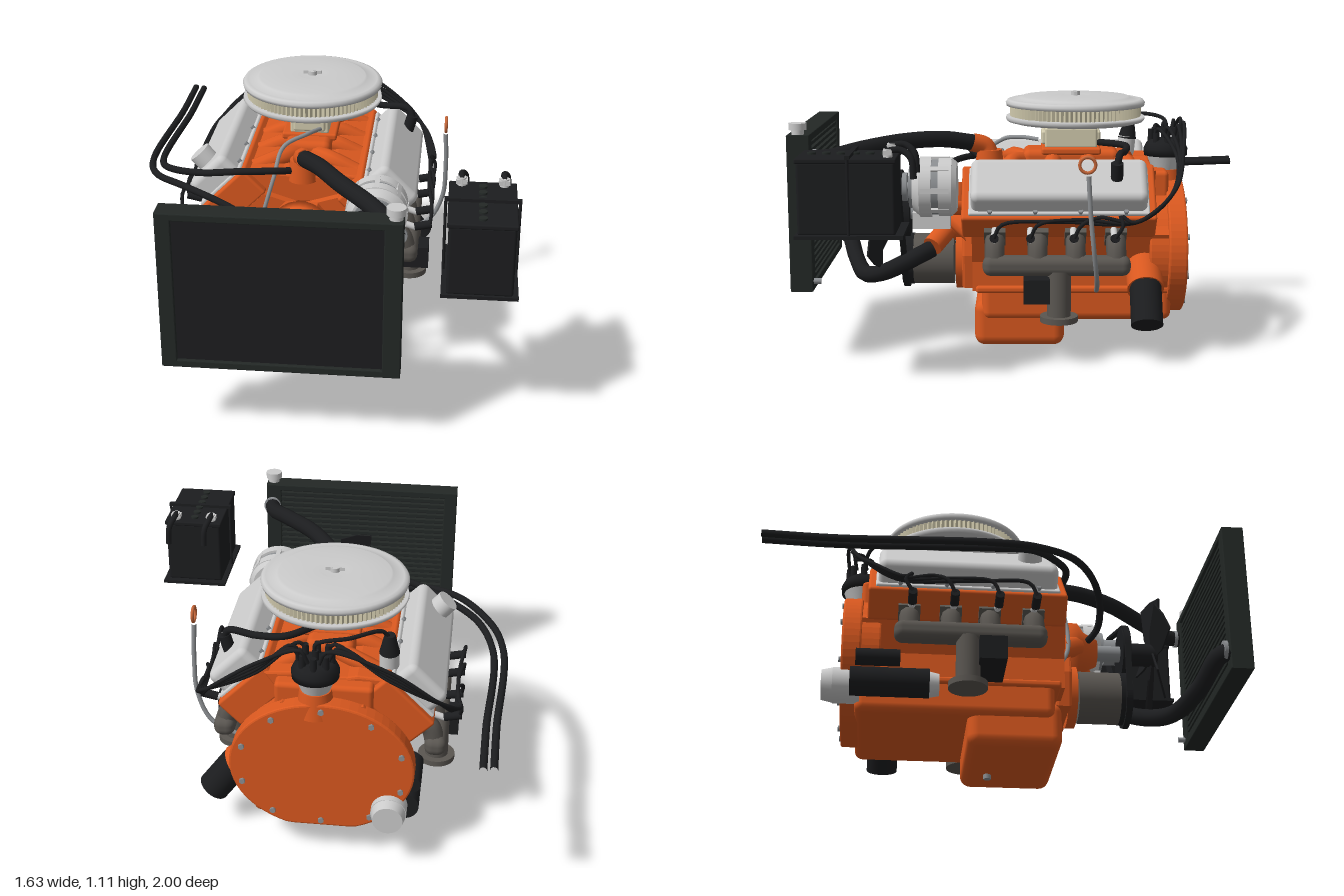
import * as THREE from 'three';
import { RoundedBoxGeometry } from 'three/addons/geometries/RoundedBoxGeometry.js';

const CX = -0.09, CRANK_Y = 0.365;
const mat = (color) => new THREE.MeshStandardMaterial({ color });
const V = (p) => new THREE.Vector3(...p);

export function createModel() {
  const root = new THREE.Group();
  const engine = new THREE.Group();
  engine.name = 'engine';
  engine.position.x = CX;
  root.add(engine);

  const orange = mat(0xd9581f), silver = mat(0xcccccc), black = mat(0x1c1d1f), core = mat(0x232826),
    iron = mat(0x5a5651), beige = mat(0xd2cbae), steel = mat(0x8c8f92), copper = mat(0xc8683a);

  // helpers
  const add = (parent, name, geo, m, x = 0, y = 0, z = 0) => {
    const mesh = new THREE.Mesh(geo, m);
    mesh.name = name;
    mesh.position.set(x, y, z);
    parent.add(mesh);
    return mesh;
  };
  const box = (p, name, m, w, h, d, x, y, z) => add(p, name, new THREE.BoxGeometry(w, h, d), m, x, y, z);
  const soft = (p, name, m, w, h, d, r, x, y, z) => add(p, name, new RoundedBoxGeometry(w, h, d, 3, r), m, x, y, z);
  const rod = (p, name, m, a, b, r, r2 = r, seg = 28) => {
    const A = V(a), B = V(b), dir = B.clone().sub(A);
    const mesh = add(p, name, new THREE.CylinderGeometry(r2, r, dir.length(), seg), m);
    mesh.position.copy(A).addScaledVector(dir, 0.5);
    mesh.quaternion.setFromUnitVectors(new THREE.Vector3(0, 1, 0), dir.normalize());
    return mesh;
  };
  const tube = (p, name, m, pts, r, seg = 48) =>
    add(p, name, new THREE.TubeGeometry(new THREE.CatmullRomCurve3(pts.map(V)), seg, r, 10), m);
  const poly = (pts) => new THREE.Shape(pts.map(([x, y]) => new THREE.Vector2(x, y)));
  const mirror = (half) => poly([...half, ...half.map(([x, y]) => [-x, y]).reverse()]);
  const slab = (p, name, m, shape, z0, z1, bevel = 0) => add(p, name, new THREE.ExtrudeGeometry(shape, {
    depth: z1 - z0 - 2 * bevel, curveSegments: 32, bevelEnabled: bevel > 0,
    bevelSize: bevel, bevelThickness: bevel, bevelSegments: 2, bevelOffset: -bevel }), m, 0, 0, z0 + bevel);
  const lathe = (p, name, m, prof, x, y, z, seg = 64) =>
    add(p, name, new THREE.LatheGeometry(prof.map(([a, b]) => new THREE.Vector2(a, b)), seg), m, x, y, z);

  // block, bell plate and front cover
  slab(engine, 'block', orange, mirror([[0.29, 0.27], [0.29, 0.4], [0.346, 0.528], [0.163, 0.711], [0.001, 0.66]]), -0.63, 0.24);
  const bellPoint = (a, k) => [0.38 * k * Math.cos(a), Math.max(0.43 + 0.305 * k * Math.sin(a), 0.435 - 0.29 * k)];
  const bellShape = (k) => poly(Array.from({ length: 64 }, (_, i) => bellPoint(i / 32 * Math.PI, k)));
  slab(engine, 'bellPlate', orange, bellShape(1), -0.68, -0.6, 0.008);
  slab(engine, 'bellNeck', orange, bellShape(0.93), -0.61, -0.52, 0.008);
  for (let i = 0; i < 10; i++) {
    const [x, y] = bellPoint((i + 0.5) / 5 * Math.PI, 0.9);
    rod(engine, 'plateBolt', steel, [x, y, -0.67], [x, y, -0.69], 0.013, 0.013, 6);
  }
  slab(engine, 'timingCover', orange, mirror([[0.15, 0.25], [0.17, 0.4], [0.12, 0.62], [0.07, 0.68]]), 0.22, 0.29, 0.012);
  rod(engine, 'timingCoverRim', orange, [0, 0.355, 0.28], [0, 0.355, 0.32], 0.135);

  // oil pan
  soft(engine, 'panRail', orange, 0.62, 0.03, 0.85, 0.012, 0, 0.28, -0.2);
  soft(engine, 'shallowPan', orange, 0.59, 0.16, 0.82, 0.035, 0, 0.22, -0.21);
  soft(engine, 'sump', orange, 0.555, 0.2, 0.39, 0.045, 0.005, 0.12, 0.037);
  rod(engine, 'drainPlug', steel, [0.09, 0, -0.05], [0.09, 0.03, -0.05], 0.017, 0.017, 6);

  // intake manifold
  slab(engine, 'intakeValley', orange, mirror([[0.16, 0.66], [0.25, 0.79], [0.13, 0.8], [0.09, 0.79]]), -0.55, 0.2, 0.01);
  soft(engine, 'plenum', orange, 0.2, 0.12, 0.42, 0.03, 0, 0.8, -0.19);
  soft(engine, 'carburettorPad', orange, 0.24, 0.03, 0.26, 0.01, 0, 0.855, -0.19);
  soft(engine, 'rearValleyWall', orange, 0.4, 0.14, 0.1, 0.02, 0, 0.71, -0.56);
  for (const s of [-1, 1]) for (const z of [0.09, -0.1, -0.27, -0.45])
    tube(engine, 'intakeRunner', orange, [[0, 0.79, -0.19 + (z + 0.19) * 0.5], [s * 0.1, 0.81, z * 0.9 - 0.02], [s * 0.22, 0.765, z]], 0.038, 14);
  rod(engine, 'thermostatBase', orange, [0, 0.76, 0.17], [0, 0.85, 0.17], 0.065, 0.055);
  tube(engine, 'thermostatNeck', orange, [[0, 0.83, 0.17], [0, 0.865, 0.19], [0.02, 0.885, 0.25]], 0.041, 14);

  // cylinder banks
  const plugZ = [0.14, -0.01, -0.19, -0.36];
  for (const s of [-1, 1]) {
    const zo = s > 0 ? 0 : -0.04;
    const bank = new THREE.Group();
    bank.name = s > 0 ? 'leftBank' : 'rightBank';
    bank.position.set(0, CRANK_Y, zo);
    bank.rotation.z = -s * Math.PI / 4;
    engine.add(bank);
    soft(bank, 'cylinderHead', orange, 0.28, 0.14, 0.82, 0.012, 0, 0.425, -0.13);
    soft(bank, 'valveCoverFlange', silver, 0.245, 0.02, 0.76, 0.008, 0, 0.497, -0.13);
    soft(bank, 'valveCover', silver, 0.215, 0.13, 0.74, 0.032, 0, 0.535, -0.13);
    for (let i = 0; i < 4; i++) for (const e of [-1, 1])
      rod(bank, 'coverBolt', steel, [e * 0.113, 0.5, 0.16 - i * 0.19], [e * 0.113, 0.518, 0.16 - i * 0.19], 0.01, 0.01, 6);
    // exhaust manifold
    soft(engine, 'exhaustLog', iron, 0.09, 0.085, 0.62, 0.035, s * 0.45, 0.42, -0.12 + zo);
    for (const z of [0.14, -0.04, -0.2, -0.37]) {
      tube(engine, 'exhaustPort', iron, [[s * 0.34, 0.53, z + zo], [s * 0.42, 0.5, z + zo], [s * 0.45, 0.41, z + zo]], 0.042, 16);
      box(engine, 'portFlange', iron, 0.03, 0.1, 0.09, s * 0.375, 0.53, z + zo).rotation.z = -s * Math.PI / 4;
    }
    rod(engine, 'exhaustOutlet', iron, [s * 0.45, 0.19, -0.13 + zo], [s * 0.45, 0.4, -0.13 + zo], 0.05);
    rod(engine, 'outletFlange', iron, [s * 0.45, 0.18, -0.13 + zo], [s * 0.45, 0.205, -0.13 + zo], 0.08);
    box(engine, 'engineMount', black, 0.26, 0.1, 0.11, s * 0.41, 0.325, -0.035 + zo);
    // spark plugs and their leads
    plugZ.forEach((z0, i) => {
      const z = z0 + zo;
      rod(engine, 'sparkPlug', silver, [s * 0.38, 0.57, z], [s * 0.49, 0.535, z], 0.014);
      rod(engine, 'plugBoot', black, [s * 0.48, 0.54, z], [s * 0.55, 0.555, z], 0.018);
      const a = s * (0.35 + i * 0.7), cx = 0.03 + 0.065 * Math.sin(a), cz = -0.61 - 0.065 * Math.cos(a), k = i * 0.009;
      tube(engine, 'plugLead', black, [[cx, 0.92, cz], [cx + s * 0.03, 0.98 - k, cz - 0.01], [s * 0.26, 0.9 - k * 2, -0.665 + k],
        [s * (0.46 + k), 0.74 - k, -0.61 + k], [s * (0.52 + k), 0.62, -0.46 + k], [s * 0.53, 0.62 + k, (z - 0.46) / 2 + 0.03],
        [s * 0.55, 0.61, z - 0.03], [s * 0.545, 0.555, z]], 0.008, 60);
    });
  }
  rod(engine, 'oilFillerCap', silver, [-0.42, 0.78, 0.085], [-0.462, 0.828, 0.085], 0.05);
  rod(engine, 'breatherValve', black, [0.42, 0.78, -0.37], [0.44, 0.85, -0.37], 0.026);
  tube(engine, 'breatherHose', black, [[0.44, 0.84, -0.37], [0.42, 0.88, -0.38], [0.3, 0.88, -0.41], [0.18, 0.89, -0.42], [0.05, 0.89, -0.3]], 0.015);

  // carburettor and air cleaner
  soft(engine, 'carburettor', beige, 0.17, 0.09, 0.23, 0.01, 0, 0.91, -0.19);
  rod(engine, 'carburettorHorn', beige, [0, 0.94, -0.2], [0, 0.985, -0.2], 0.085);
  for (const s of [-1, 1]) soft(engine, 'floatBowl', beige, 0.14, 0.06, 0.03, 0.01, 0, 0.91, -0.19 + s * 0.115);
  tube(engine, 'fuelLine', steel, [[0.05, 0.9, -0.05], [0, 0.905, 0.03], [-0.09, 0.88, 0.12], [-0.12, 0.78, 0.23], [-0.2, 0.5, 0.27], [-0.24, 0.38, 0.22]], 0.009);
  lathe(engine, 'airCleanerBase', silver, [[0.001, 0.972], [0.27, 0.972], [0.3, 0.98], [0.307, 0.99], [0.305, 1.002], [0.001, 1.002]], 0, 0, -0.21);
  const pleats = [];
  for (let i = 0; i < 180; i++) {
    const a = i / 180 * Math.PI * 2, r = i % 2 ? 0.29 : 0.281;
    pleats.push([r * Math.cos(a), r * Math.sin(a)]);
  }
  const filter = slab(engine, 'airFilter', beige, poly(pleats), 0, 0.055);
  filter.rotation.x = -Math.PI / 2;
  filter.position.set(0, 1, -0.21);
  lathe(engine, 'airCleanerLid', silver, [[0.28, 1.048], [0.304, 1.048], [0.308, 1.062], [0.3, 1.074], [0.285, 1.078],
    [0.275, 1.074], [0.24, 1.083], [0.232, 1.09], [0.15, 1.094], [0.07, 1.096], [0.06, 1.092], [0.001, 1.092]], 0, 0, -0.21);
  rod(engine, 'wingNutStud', silver, [0, 1.09, -0.21], [0, 1.11, -0.21], 0.02);
  box(engine, 'wingNut', silver, 0.08, 0.015, 0.012, 0, 1.103, -0.21);

  // distributor and ignition coil
  rod(engine, 'distributorBase', orange, [0.03, 0.66, -0.61], [0.03, 0.77, -0.61], 0.08, 0.065);
  rod(engine, 'distributorBody', silver, [0.03, 0.76, -0.61], [0.03, 0.835, -0.61], 0.055, 0.085);
  lathe(engine, 'distributorCap', black, [[0.001, 0.83], [0.095, 0.83], [0.097, 0.86], [0.085, 0.885], [0.07, 0.9], [0.001, 0.905]], 0.03, 0, -0.61, 32);
  for (let i = 0; i < 9; i++) {
    const a = i / 8 * Math.PI * 2, r = i < 8 ? 0.065 : 0;
    rod(engine, 'capTower', black, [0.03 + r * Math.cos(a), 0.88, -0.61 + r * Math.sin(a)], [0.03 + r * Math.cos(a), 0.945, -0.61 + r * Math.sin(a)], 0.015, 0.013, 12);
  }
  rod(engine, 'coilBody', silver, [-0.25, 0.78, -0.45], [-0.25, 0.88, -0.46], 0.04);
  rod(engine, 'coilTop', black, [-0.25, 0.87, -0.46], [-0.25, 0.955, -0.47], 0.042, 0.022);
  tube(engine, 'coilLead', black, [[-0.25, 0.94, -0.47], [-0.22, 0.98, -0.49], [-0.1, 0.99, -0.58], [0.03, 0.97, -0.61], [0.03, 0.92, -0.61]], 0.0085);

  // oil filter and starter
  rod(engine, 'filterBoss', orange, [0.25, 0.39, -0.5], [0.385, 0.3, -0.5], 0.078);
  rod(engine, 'oilFilter', black, [0.375, 0.32, -0.5], [0.485, 0.17, -0.5], 0.068);
  rod(engine, 'starterMotor', black, [-0.34, 0.245, -0.64], [-0.34, 0.245, -0.32], 0.06);
  rod(engine, 'starterEnd', silver, [-0.34, 0.24, -0.33], [-0.34, 0.24, -0.28], 0.055, 0.045);
  rod(engine, 'starterCollar', silver, [-0.28, 0.25, -0.6], [-0.28, 0.25, -0.71], 0.074);
  rod(engine, 'starterNose', silver, [-0.28, 0.25, -0.7], [-0.28, 0.25, -0.755], 0.074, 0.062);
  rod(engine, 'starterSolenoid', black, [-0.37, 0.34, -0.62], [-0.37, 0.34, -0.44], 0.035);

  // front drive
  rod(engine, 'crankDamper', iron, [0, 0.355, 0.33], [0, 0.355, 0.51], 0.113);
  rod(engine, 'crankPulley', black, [0, 0.355, 0.51], [0, 0.355, 0.56], 0.115);
  lathe(engine, 'waterPump', orange, [[0.001, 0], [0.13, 0], [0.13, 0.06], [0.09, 0.09], [0.06, 0.15], [0.001, 0.15]], 0, 0.57, 0.27, 32).rotation.x = Math.PI / 2;
  for (const s of [-1, 1]) tube(engine, 'pumpArm', orange, [[0, 0.57, 0.32], [s * 0.1, 0.55, 0.31], [s * 0.17, 0.5, 0.24]], 0.045, 14);
  rod(engine, 'pumpInlet', orange, [0.03, 0.53, 0.33], [0.15, 0.44, 0.42], 0.045);
  rod(engine, 'pumpShaft', steel, [0, 0.57, 0.4], [0, 0.57, 0.53], 0.035);
  rod(engine, 'pumpPulley', black, [0, 0.57, 0.525], [0, 0.57, 0.56], 0.115);
  rod(engine, 'fanHub', black, [0, 0.57, 0.56], [0, 0.57, 0.69], 0.05);
  const blade = poly([[0.03, -0.03], [0.1, -0.06], [0.25, -0.075], [0.262, 0], [0.25, 0.075], [0.1, 0.06], [0.03, 0.03]]);
  for (let i = 0; i < 5; i++) {
    const pivot = new THREE.Group();
    pivot.name = 'fanBlade';
    pivot.position.set(0, 0.57, 0.675);
    pivot.rotation.z = Math.PI / 2 + i * Math.PI * 0.4;
    engine.add(pivot);
    slab(pivot, 'blade', black, blade, -0.004, 0.004).rotation.x = 0.35;
  }
  // belt outline: the outermost pulley point in every direction
  const pulleys = [[0, 0.355, 0.115], [0, 0.57, 0.115], [0.33, 0.735, 0.06]];
  const loop = (grow) => Array.from({ length: 72 }, (_, i) => {
    const c = Math.cos(i / 36 * Math.PI), s = Math.sin(i / 36 * Math.PI);
    const p = pulleys.reduce((a, b) => (b[0] * c + b[1] * s + b[2] > a[0] * c + a[1] * s + a[2] ? b : a));
    return [p[0] + (p[2] + grow) * c, p[1] + (p[2] + grow) * s];
  });
  const belt = poly(loop(0.013));
  belt.holes.push(new THREE.Path(loop(0).map(([x, y]) => new THREE.Vector2(x, y))));
  slab(engine, 'driveBelt', black, belt, 0.53, 0.555);

  // alternator
  const alt = (name, m, z0, z1, r, r2) => rod(engine, name, m, [0.33, 0.735, z0], [0.33, 0.735, z1], r, r2, 40);
  alt('alternatorRear', silver, 0.3, 0.32, 0.105, 0.122);
  alt('alternatorRearShell', silver, 0.32, 0.375, 0.125);
  alt('alternatorStator', steel, 0.37, 0.41, 0.118);
  alt('alternatorFrontShell', silver, 0.405, 0.455, 0.128);
  alt('alternatorFront', silver, 0.455, 0.485, 0.125, 0.1);
  alt('alternatorFan', steel, 0.485, 0.5, 0.09);
  alt('alternatorShaft', steel, 0.48, 0.58, 0.02);
  alt('alternatorPulley', steel, 0.51, 0.57, 0.06);
  for (let i = 0; i < 8; i++) {
    const a = i / 8 * Math.PI * 2;
    box(engine, 'alternatorRib', silver, 0.016, 0.02, 0.12, 0.33 + 0.12 * Math.cos(a), 0.735 + 0.12 * Math.sin(a), 0.39).rotation.z = a;
  }
  rod(engine, 'alternatorBracket', orange, [0.2, 0.62, 0.25], [0.31, 0.64, 0.36], 0.03);
  box(engine, 'alternatorFoot', silver, 0.05, 0.07, 0.16, 0.32, 0.59, 0.41);

  // dipstick
  tube(engine, 'dipstickTube', steel, [[0.595, 0.82, -0.245], [0.6, 0.65, -0.255], [0.59, 0.5, -0.27], [0.53, 0.37, -0.285], [0.4, 0.3, -0.29]], 0.01);
  add(engine, 'dipstickRing', new THREE.TorusGeometry(0.032, 0.007, 8, 24), copper, 0.595, 0.865, -0.24).rotation.y = Math.PI / 2;

  // radiator
  const frame = poly([[-0.55, 0.31], [0.375, 0.31], [0.375, 0.97], [-0.55, 0.97]]);
  frame.holes.push(new THREE.Path([[-0.49, 0.34], [-0.49, 0.94], [0.305, 0.94], [0.305, 0.34]].map((p) => new THREE.Vector2(...p))));
  slab(root, 'radiatorFrame', core, frame, 0.9, 0.995, 0.004);
  box(root, 'radiatorCore', black, 0.8, 0.61, 0.05, -0.09, 0.64, 0.955);
  for (let i = 0; i < 22; i++) box(root, 'radiatorFin', core, 0.8, 0.014, 0.026, -0.09, 0.355 + i * 0.027, 0.92);
  rod(root, 'fillerNeck', silver, [0.345, 0.96, 0.95], [0.345, 0.995, 0.95], 0.026);
  rod(root, 'radiatorCap', silver, [0.345, 0.99, 0.95], [0.345, 1.018, 0.95], 0.037);
  rod(root, 'upperOutlet', steel, [0.345, 0.87, 0.875], [0.345, 0.87, 0.89], 0.04);
  rod(root, 'lowerOutlet', steel, [-0.52, 0.4, 0.875], [-0.52, 0.4, 0.89], 0.042);
  rod(root, 'drainCock', steel, [0.345, 0.35, 0.87], [0.345, 0.35, 0.91], 0.012);

  // coolant hoses
  tube(root, 'upperHose', black, [[-0.075, 0.882, 0.24], [0, 0.907, 0.37], [0.1, 0.91, 0.53], [0.24, 0.895, 0.7], [0.33, 0.872, 0.83], [0.345, 0.87, 0.905]], 0.036);
  tube(root, 'lowerHose', black, [[-0.52, 0.4, 0.905], [-0.5, 0.38, 0.86], [-0.37, 0.3, 0.81], [-0.15, 0.27, 0.74], [0, 0.31, 0.64], [0.1, 0.39, 0.51], [0.06, 0.43, 0.42]], 0.038);
  tube(root, 'heaterHoseOuter', black, [[-0.775, 0.71, -1], [-0.78, 0.7, -0.7], [-0.8, 0.7, -0.1], [-0.74, 0.72, 0.1], [-0.58, 0.75, 0.28], [-0.38, 0.72, 0.39], [-0.22, 0.63, 0.41], [-0.15, 0.58, 0.36]], 0.015, 64);
  tube(root, 'heaterHoseInner', black, [[-0.735, 0.705, -1], [-0.74, 0.695, -0.7], [-0.755, 0.7, -0.1], [-0.68, 0.74, 0.08], [-0.52, 0.78, 0.2], [-0.35, 0.82, 0.26], [-0.2, 0.82, 0.24], [-0.12, 0.8, 0.18]], 0.015, 64);

  // battery
  soft(root, 'batteryCase', black, 0.255, 0.29, 0.38, 0.012, 0.663, 0.775, 0.7);
  soft(root, 'batteryLid', black, 0.265, 0.02, 0.39, 0.006, 0.663, 0.922, 0.7);
  box(root, 'batteryTray', black, 0.295, 0.014, 0.42, 0.663, 0.628, 0.69);
  box(root, 'holdDownBar', black, 0.295, 0.014, 0.02, 0.663, 0.938, 0.69);
  for (const s of [-1, 1]) {
    rod(root, 'holdDownRod', black, [0.663 + s * 0.142, 0.62, 0.69], [0.663 + s * 0.142, 0.945, 0.69], 0.006, 0.006, 8);
    const x = 0.663 + s * 0.083;
    rod(root, 'batteryTerminal', silver, [x, 0.92, 0.54], [x, 0.965, 0.54], 0.018);
    box(root, 'cableClamp', silver, 0.045, 0.018, 0.035, x, 0.95, 0.54);
    tube(root, 'batteryCable', black, [[x, 0.955, 0.55], [x, 0.96, 0.49], [x + 0.015, 0.93, 0.45], [x + 0.02, 0.85, 0.44]], 0.013, 20);
  }
  for (let i = 0; i < 6; i++) rod(root, 'cellCap', core, [0.663, 0.92, 0.56 + i * 0.057], [0.663, 0.94, 0.56 + i * 0.057], 0.017, 0.017, 16);

  return root;
}
